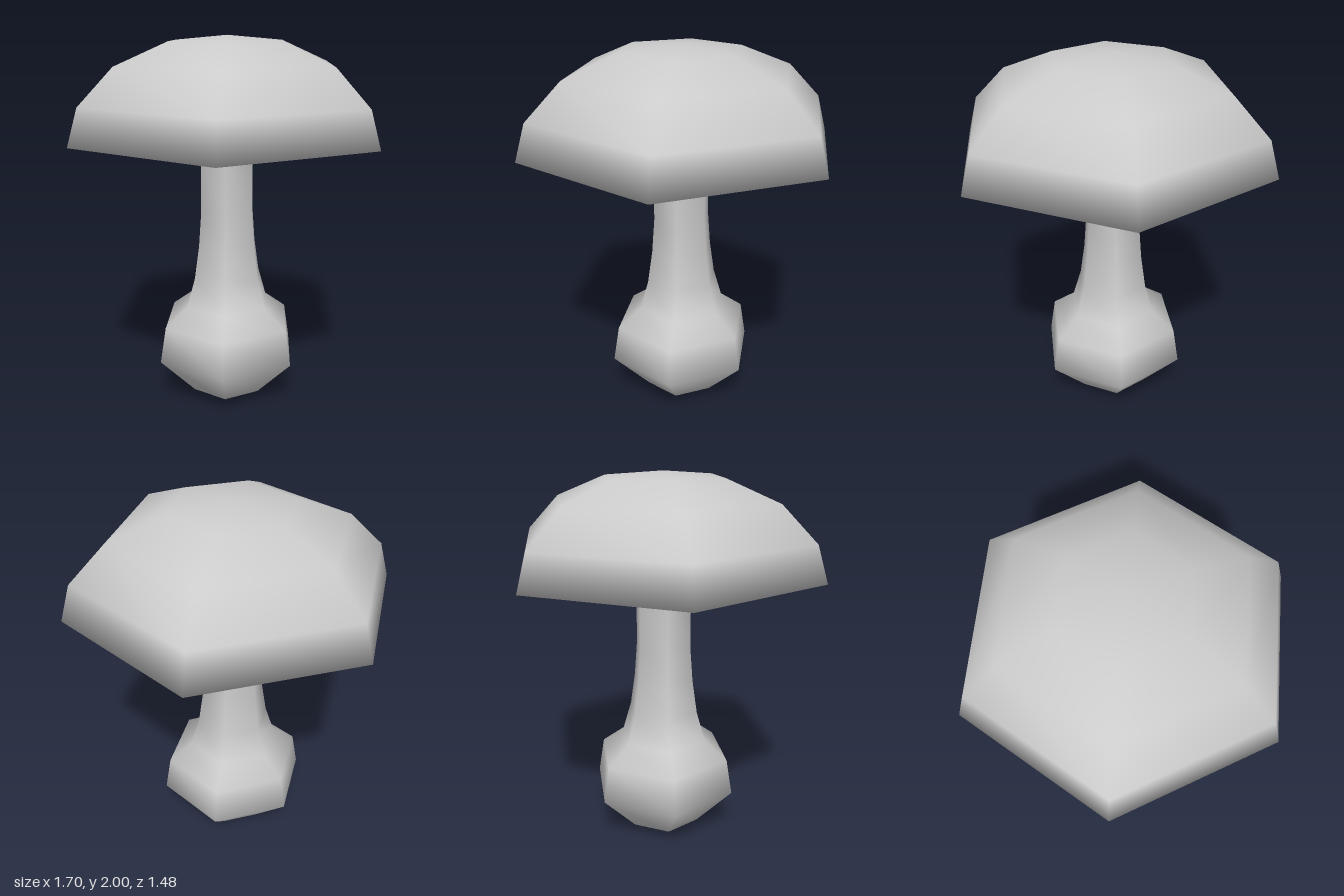
import * as THREE from 'three';
import { mergeVertices } from 'three/addons/utils/BufferGeometryUtils.js';

const SIDES = 6;

// Six-sided turned form with smooth normals; profile is [radius, y] from bottom to top
function turned(name, profile, material) {
  const points = profile.map(([r, y]) => new THREE.Vector2(r, y));
  let geometry = new THREE.LatheGeometry(points, SIDES, Math.PI / 2);
  geometry.deleteAttribute('uv');
  geometry.deleteAttribute('normal');
  geometry = mergeVertices(geometry, 1e-4);
  geometry.computeVertexNormals();
  const mesh = new THREE.Mesh(geometry, material);
  mesh.name = name;
  return mesh;
}

export function createModel() {
  const group = new THREE.Group();
  group.name = 'mushroom';
  const material = new THREE.MeshStandardMaterial({ color: 0xcccccc });

  // Bulbous foot running up into the slim stem
  group.add(turned('stem', [
    [0, 0.005], [0.205, 0.05], [0.408, 0.265], [0.375, 0.46], [0.245, 0.56],
    [0.197, 0.72], [0.17, 0.9], [0.155, 1.09], [0.155, 1.37], [0.165, 1.487],
  ], material));

  // Cap: flat underside, flared rim and faceted dome
  group.add(turned('cap', [
    [0, 1.487], [0.165, 1.487], [0.852, 1.487], [0.795, 1.675],
    [0.61, 1.858], [0.325, 1.972], [0, 2],
  ], material));

  return group;
}
